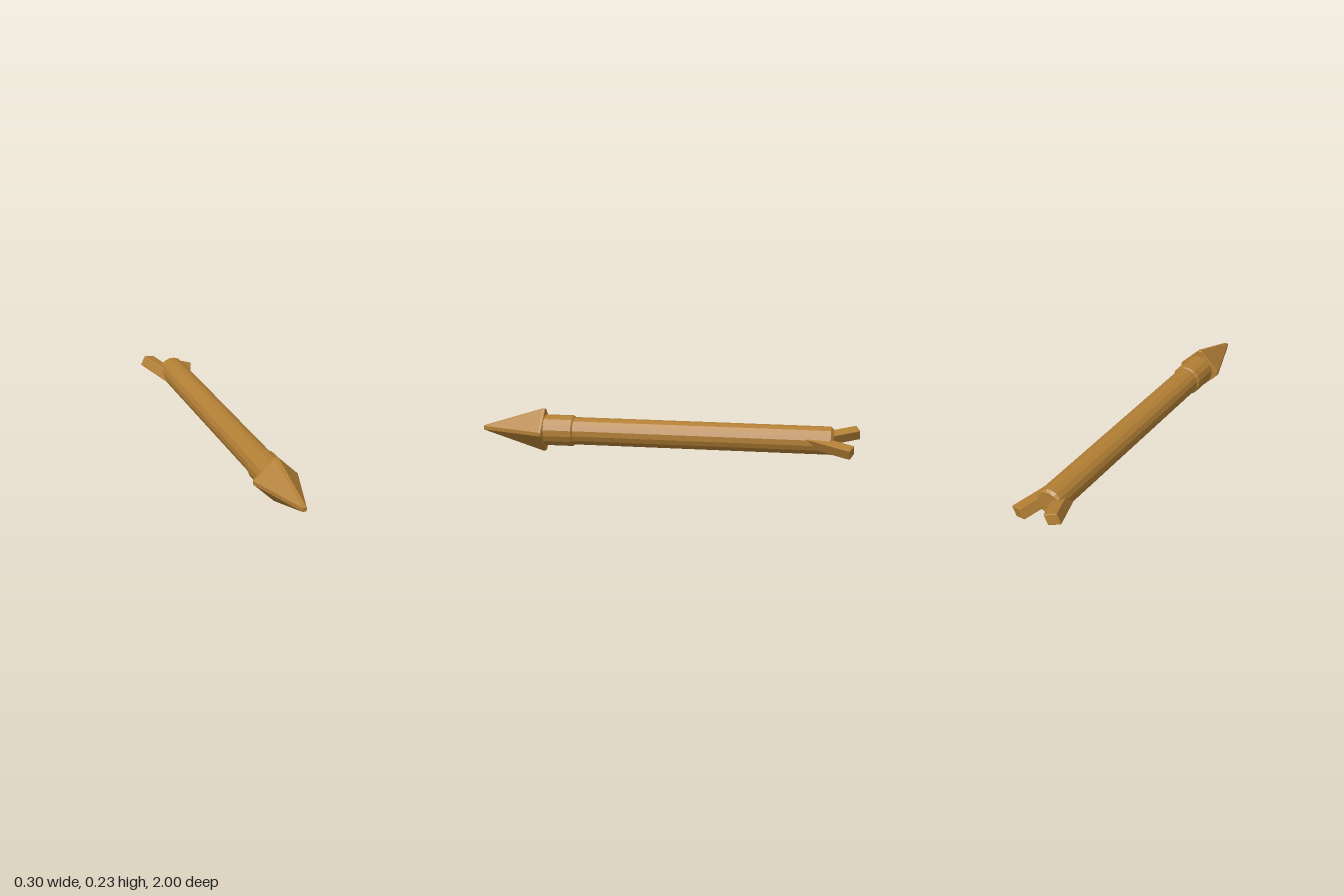
import * as THREE from 'three';
import { ConvexGeometry } from 'three/addons/geometries/ConvexGeometry.js';
import { RoundedBoxGeometry } from 'three/addons/geometries/RoundedBoxGeometry.js';

const AXIS_Y = 0.115;

export function createModel() {
  const model = new THREE.Group();
  model.name = 'arrow';
  const wood = new THREE.MeshStandardMaterial({ color: 0xb27f35, flatShading: true });

  const add = (name, geometry) => {
    const mesh = new THREE.Mesh(geometry, wood);
    mesh.name = name;
    model.add(mesh);
    return mesh;
  };

  // Turned parts: profile of [radius, z], spun about the long axis
  const turned = (name, profile) => {
    const points = profile.map(([r, z]) => new THREE.Vector2(r, z));
    const geometry = new THREE.LatheGeometry(points, 16, Math.PI / 16);
    geometry.rotateX(Math.PI / 2);
    add(name, geometry).position.y = AXIS_Y;
  };
  turned('shaft', [[0, -0.865], [0.06, -0.865], [0.073, -0.852], [0.073, 0.55], [0, 0.55]]);
  turned('collar', [[0, 0.5], [0.076, 0.5], [0.082, 0.508], [0.082, 0.665], [0, 0.665]]);

  // Four-sided head with narrow bevelled corners and a blunt square tip
  const half = 0.01;
  const points = [];
  for (const [r, z] of [[0.111, 0.658], [0.114, 0.662], [0.114, 0.673]]) {
    for (const a of [-1, 1]) for (const b of [-1, 1]) {
      points.push(new THREE.Vector3(a * half, b * r, z), new THREE.Vector3(a * r, b * half, z));
    }
  }
  for (const a of [-1, 1]) for (const b of [-1, 1]) points.push(new THREE.Vector3(a * half, b * half, 1));
  add('head', new ConvexGeometry(points)).position.y = AXIS_Y;

  // Splayed tail prongs: a slanted bar, repeated half a turn around the shaft
  const length = 0.3;
  const along = new THREE.Vector3(0.33, -0.14, -0.93).normalize();
  const across = new THREE.Vector3(0.06, -0.014, 0.02).normalize();
  const up = new THREE.Vector3(0.025, 0.05, 0).normalize();
  const end = new THREE.Vector3(0.108, -0.028, -0.962);
  const slant = new THREE.Matrix4()
    .makeBasis(across, up, along.clone().negate())
    .setPosition(end.addScaledVector(along, -length / 2));
  for (const [name, turn, z] of [['leftTailProng', 0, 0], ['rightTailProng', Math.PI, -0.028]]) {
    const bar = new RoundedBoxGeometry(0.066, 0.058, length, 1, 0.004).applyMatrix4(slant);
    const prong = add(name, bar);
    prong.position.set(0, 0.11, z);
    prong.rotation.z = turn;
  }
  return model;
}
